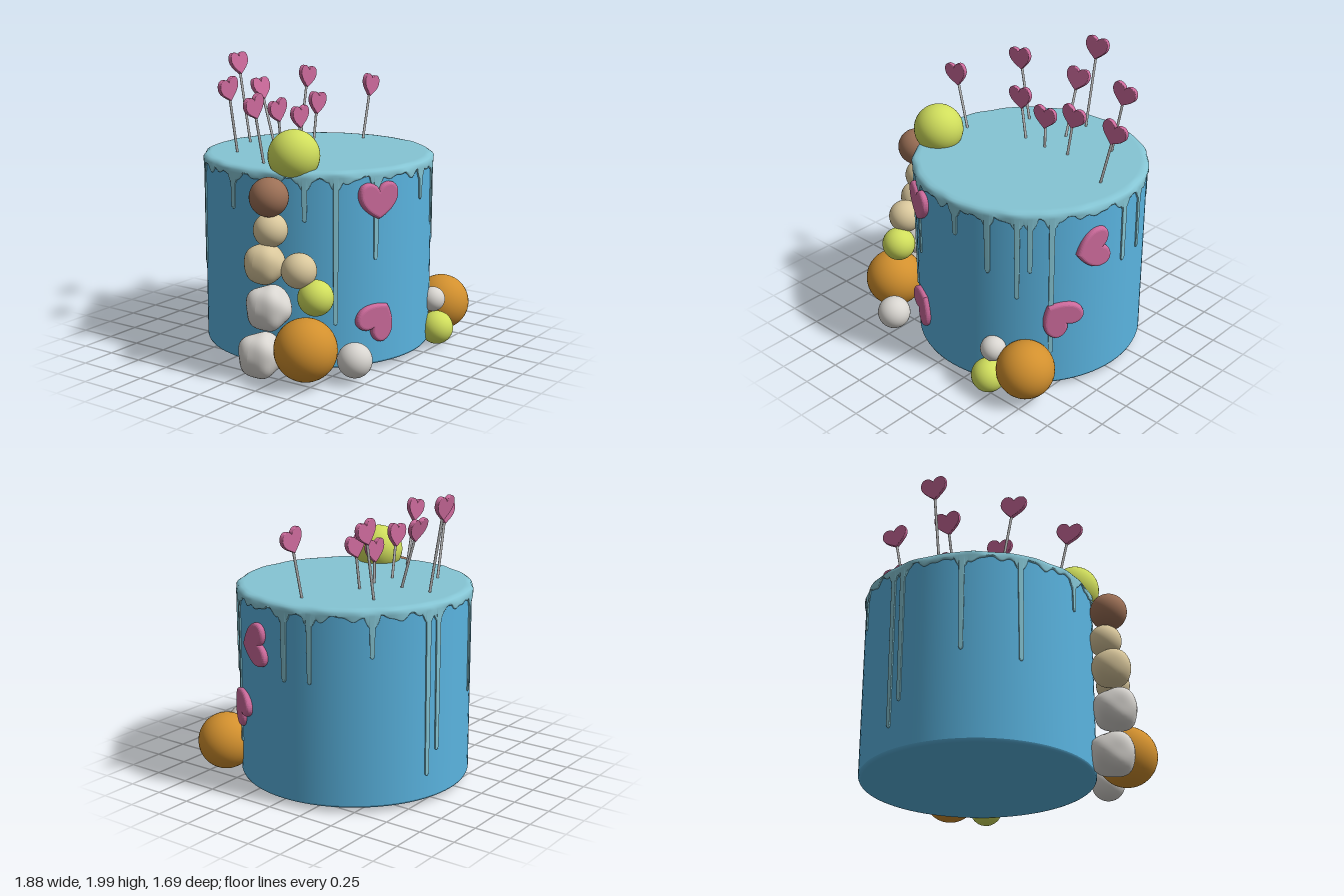
import * as THREE from 'three';

const CX = 0.128, CZ = -0.05; // cake axis
const rad = THREE.MathUtils.degToRad;
const paint = (color, side = THREE.FrontSide) => new THREE.MeshStandardMaterial({ color, side });

const cakeBlue = paint(0x5ab4e0);
const icingBlue = paint(0x85c5d4, THREE.DoubleSide);
const pink = paint(0xcc6a9b);
const stickGrey = paint(0xcccccc);
const gold = paint(0xd2902e), lime = paint(0xd0de5c), white = paint(0xd8d5d0);
const cream = paint(0xd9c79c), brown = paint(0x9c7056);

function add(parent, name, geometry, material, x = 0, y = 0, z = 0) {
  const mesh = new THREE.Mesh(geometry, material);
  mesh.name = name;
  mesh.position.set(x, y, z);
  parent.add(mesh);
  return mesh;
}

// Heart plate centred on the origin, point down, facing +z
function heartGeometry(w, depth, bevel, fat = 0) {
  const s = new THREE.Shape();
  s.moveTo(0, 0.26 * w);
  s.bezierCurveTo(0.1 * w, 0.46 * w, 0.5 * w, 0.5 * w, 0.5 * w, 0.14 * w);
  s.bezierCurveTo(0.5 * w, -0.1 * w, (0.2 + fat) * w, (-0.26 - fat) * w, 0, -0.42 * w);
  s.bezierCurveTo((-0.2 - fat) * w, (-0.26 - fat) * w, -0.5 * w, -0.1 * w, -0.5 * w, 0.14 * w);
  s.bezierCurveTo(-0.5 * w, 0.5 * w, -0.1 * w, 0.46 * w, 0, 0.26 * w);
  const g = new THREE.ExtrudeGeometry(s, {
    depth: depth - 2 * bevel, curveSegments: 14,
    bevelSize: bevel, bevelThickness: bevel, bevelOffset: -bevel, bevelSegments: 4,
  });
  return g.translate(0, 0, bevel - depth / 2);
}

// Drips: [angle from the front in degrees, height of the tip]
const DRIPS = [
  [-133, 0.6], [-100, 1.08], [-61.6, 1.04], [-47, 0.35], [-27, 0.77], [4, 1.11], [21.5, 0.9],
  [35.6, 0.73], [41.6, 0.93], [51.7, 0.3], [91.5, 0.86], [105, 0.87], [134, 1.05],
  [162, 0.22], [168, 0.38], [-161, 0.66],
];

// Lower edge of the icing at an angle in degrees
function icingEdge(deg) {
  const a = rad(deg);
  let y = 1.305 + 0.012 * Math.sin(19 * a) + 0.01 * Math.sin(31 * a + 1) + 0.008 * Math.sin(47 * a + 2);
  for (const [at, tip] of DRIPS) {
    const d = Math.abs(((deg - at + 540) % 360) - 180);
    if (d < 3.4) y = Math.min(y, 1.3 - 0.06 * (1 - (d / 3.4) ** 2)); // wide shoulder
    if (d < 1.25) y = Math.min(y, tip + 0.03 * (1 - Math.sqrt(1 - (d / 1.25) ** 2))); // thin run
  }
  return y;
}

// Icing sheet: flat top, rounded rim, side that ends on the drip edge
function icingGeometry() {
  const N = 1080, pos = [], idx = [];
  let rows = 0;
  for (let i = 0; i <= N; i++) {
    const deg = (i / N) * 360 - 180, a = rad(deg), low = icingEdge(deg);
    const w = 0.004 * Math.sin(13 * a) + 0.003 * Math.sin(23 * a + 1);
    const profile = [
      [0, 1.37], [0.74, 1.37], [0.768 + w, 1.367], [0.785 + w, 1.357], [0.794 + w, 1.343],
      [0.796, 1.325], [0.796, low + 0.008], [0.793, low + 0.001], [0.78, low - 0.002],
    ];
    rows = profile.length;
    for (const [r, y] of profile) pos.push(r * Math.sin(a), y, r * Math.cos(a));
  }
  for (let i = 0; i < N; i++) for (let j = 0; j < rows - 1; j++) {
    const p = i * rows + j, q = p + rows;
    if (j > 0) idx.push(p, q + 1, q);
    idx.push(p, p + 1, q + 1);
  }
  const g = new THREE.BufferGeometry();
  g.setAttribute('position', new THREE.Float32BufferAttribute(pos, 3));
  g.setIndex(idx);
  g.computeVertexNormals();
  return g;
}

// Ball, optionally dented into an uneven lump
function ballGeometry(r, lump) {
  const g = new THREE.SphereGeometry(r, 36, 24);
  if (!lump) return g;
  const p = g.attributes.position, v = new THREE.Vector3();
  for (let i = 0; i < p.count; i++) {
    v.fromBufferAttribute(p, i);
    const n = v.clone().divideScalar(r);
    const k = Math.sin(4 * n.x + 1) * Math.sin(4 * n.y + 2) + 0.6 * Math.sin(5 * n.z + 3 * n.x);
    v.multiplyScalar(1 + lump * k);
    p.setXYZ(i, v.x, v.y, v.z);
  }
  g.computeVertexNormals();
  return g;
}

export function createModel() {
  const model = new THREE.Group();
  model.name = 'decoratedCake';

  // Cake body with a softly rounded foot
  const outline = [[0, 0.052], [0.765, 0.052], [0.765, 0.052], [0.78, 0.057], [0.786, 0.07],
    [0.786, 0.07], [0.786, 1.345]].map(([x, y]) => new THREE.Vector2(x, y));
  add(model, 'cakeBody', new THREE.LatheGeometry(outline, 96), cakeBlue, CX, 0, CZ);
  add(model, 'dripIcing', icingGeometry(), icingBlue, CX, 0, CZ);

  // Heart toppers on sticks: heart x, y, z, then stick base x, z
  const toppers = [
    [0.12, 1.93, -0.74, 0.12, -0.64], [0.12, 1.765, -0.54, 0.12, -0.42], [0.12, 1.59, -0.205, 0.12, -0.205],
  ];
  for (const s of [-1, 1]) {
    for (const [dx, y, z, bx] of [[0.235, 1.66, -0.22, 0.185], [0.46, 1.81, -0.465, 0.37], [0.695, 1.75, -0.065, 0.595]])
      toppers.push([0.12 + s * dx, y, z, 0.12 + s * bx, z]);
  }
  const topperHeart = heartGeometry(0.19, 0.03, 0.005);
  for (const [x, y, z, bx, bz] of toppers) {
    const topper = new THREE.Group();
    topper.name = 'heartTopper';
    const dir = new THREE.Vector3(x - bx, y - 1.35, z - bz), len = dir.length();
    topper.position.set(bx, 1.35, bz);
    topper.quaternion.setFromUnitVectors(new THREE.Vector3(0, 1, 0), dir.normalize());
    add(topper, 'topperStick', new THREE.CylinderGeometry(0.009, 0.009, len, 10), stickGrey, 0, len / 2, 0);
    add(topper, 'topperHeart', topperHeart, pink, 0, len, 0);
    model.add(topper);
  }

  // Puffy hearts on the side: angle from the front, height, roll, width
  const sideHeart = heartGeometry(0.29, 0.056, 0.022, 0.05);
  for (const [deg, y, roll] of [[-26, 1.165, 0], [-26, 0.365, 142], [72, 1.055, -82], [56, 0.585, -138]]) {
    const a = rad(deg);
    const heart = add(model, 'sideHeart', sideHeart, pink, CX + 0.79 * Math.sin(a), y, CZ + 0.79 * Math.cos(a));
    heart.rotation.set(0, a, rad(roll), 'YXZ');
  }

  // Sugar balls: name, material, x, y, z, radius, unevenness
  const balls = [
    ['topLimeBall', lime, -0.5, 1.45, 0.195, 0.17, 0],
    ['brownBall', brown, -0.75, 1.22, 0.18, 0.127, 0],
    ['upperCreamBall', cream, -0.722, 1.0, 0.17, 0.112, 0],
    ['rearCreamBall', cream, -0.765, 0.785, 0.155, 0.135, 0.03],
    ['frontCreamBall', cream, -0.69, 0.755, 0.37, 0.115, 0],
    ['leftLimeBall', lime, -0.655, 0.585, 0.475, 0.117, 0],
    ['upperWhiteLump', white, -0.77, 0.5, 0.19, 0.15, 0.06],
    ['lowerWhiteLump', white, -0.765, 0.165, 0.12, 0.152, 0.06],
    ['leftGoldBall', gold, -0.738, 0.258, 0.455, 0.206, 0],
    ['leftWhiteBall', white, -0.51, 0.168, 0.68, 0.115, 0],
    ['rightGoldBall', gold, 0.7, 0.25, 0.63, 0.195, 0],
    ['rightLimeBall', lime, 0.46, 0.138, 0.73, 0.116, 0],
    ['rightWhiteBall', white, 0.468, 0.337, 0.69, 0.086, 0],
  ];
  for (const [name, material, x, y, z, r, lump] of balls)
    add(model, name, ballGeometry(r, lump), material, x, y, z);

  return model;
}
